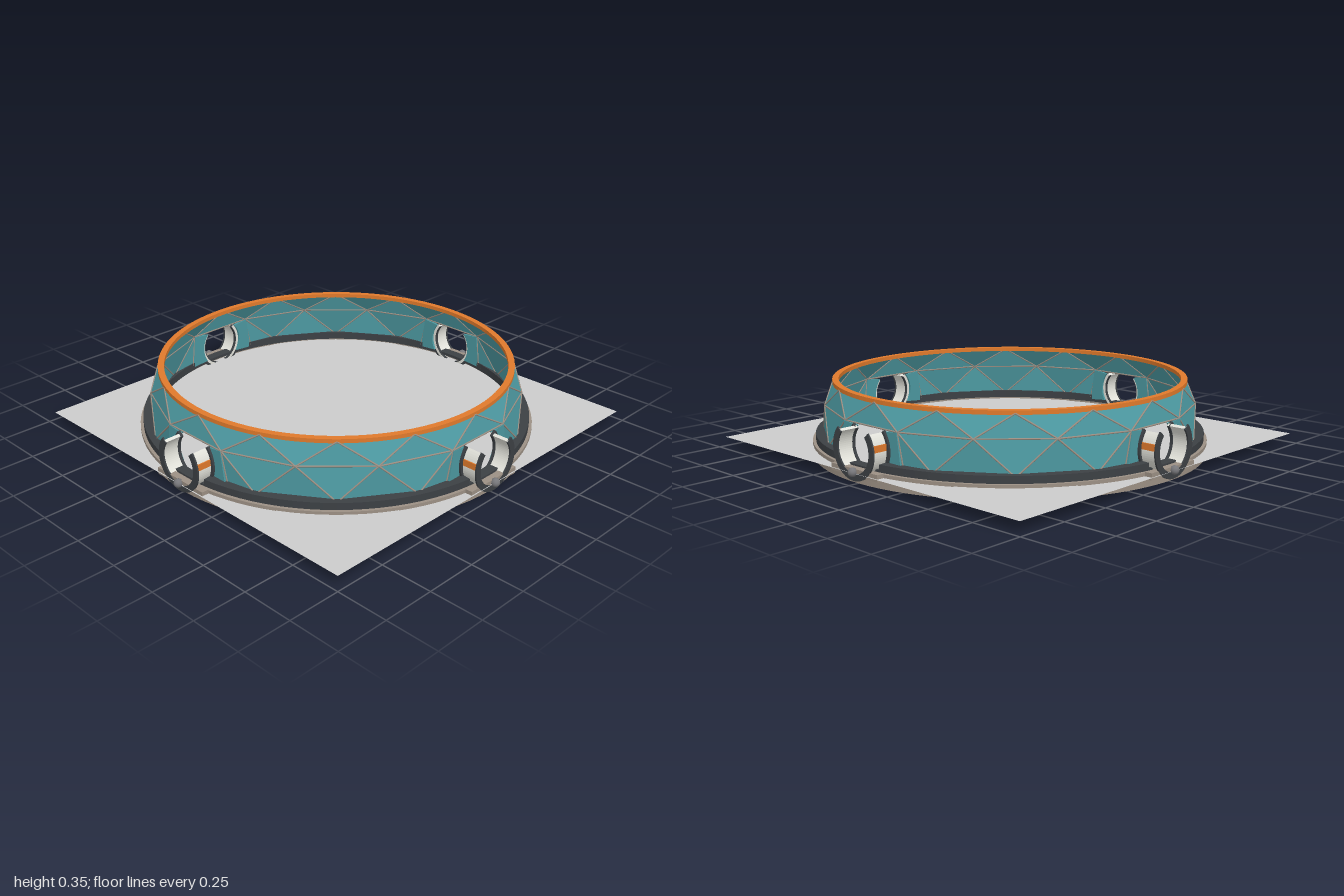
import * as THREE from 'three';

const mat = (color, extra = {}) => new THREE.MeshStandardMaterial({ color, ...extra });
const TEAL = 0x4c98a0, TAUPE = 0x9c9084, DARK = 0x3c4044, ORANGE = 0xe07a2c, CREAM = 0xe4e4dc, GREY = 0xcccccc;
const SEG = 16, STEP = Math.PI * 2 / SEG;

function add(parent, name, geometry, material, x = 0, y = 0, z = 0) {
  const mesh = new THREE.Mesh(geometry, material);
  mesh.name = name;
  mesh.position.set(x, y, z);
  parent.add(mesh);
  return mesh;
}

// Rectangular-section ring, optionally limited to an arc
function ring(inner, outer, y0, y1, start = 0, length = Math.PI * 2) {
  const p = [[inner, y0], [outer, y0], [outer, y1], [inner, y1], [inner, y0]].map(a => new THREE.Vector2(...a));
  const geo = new THREE.LatheGeometry(p, Math.max(12, Math.round(96 * length / (Math.PI * 2))), start, length).toNonIndexed();
  geo.computeVertexNormals();
  return geo;
}

// Flat annular arc in the xy plane, extruded along z
function arcPlate(inner, outer, a0, a1, depth) {
  const s = new THREE.Shape();
  s.absarc(0, 0, outer, a0, a1, false);
  s.absarc(0, 0, inner, a1, a0, true);
  return new THREE.ExtrudeGeometry(s, { depth, bevelEnabled: false, curveSegments: 28 });
}

const polar = (r, a, y) => new THREE.Vector3(r * Math.sin(a), y, r * Math.cos(a));

// Two rows of triangular panels with struts on their edges
function buildWall() {
  const wall = new THREE.Group();
  wall.name = 'panelWall';
  const low = i => polar(0.905, i * STEP, 0.085);
  const mid = i => polar(0.89, (i + 0.5) * STEP, 0.24);
  const top = i => polar(0.848, i * STEP, 0.342);
  const pos = [], edges = [];
  const tri = (...v) => v.forEach(p => pos.push(p.x, p.y, p.z));
  for (let i = 0; i < SEG; i++) {
    const gateHere = i % 4 === 0, gateNext = (i + 1) % 4 === 0;
    let a = low(i), b = low(i + 1);
    // panels beside a gate stop at its surround
    if (gateHere) a = low(i).lerp(low(i + 1), 0.58);
    if (gateNext) b = low(i + 1).lerp(low(i), 0.58);
    tri(a, b, mid(i));
    edges.push([a, mid(i)], [b, mid(i)], [mid(i - 1), mid(i)]);
    if (!gateHere) tri(mid(i - 1), low(i), mid(i));
    tri(mid(i - 1), mid(i), top(i));
    tri(mid(i), top(i + 1), top(i));
    edges.push([mid(i - 1), top(i)], [mid(i), top(i)]);
  }
  const geo = new THREE.BufferGeometry();
  geo.setAttribute('position', new THREE.Float32BufferAttribute(pos, 3));
  geo.computeVertexNormals();
  add(wall, 'panels', geo, mat(TEAL, { flatShading: true, side: THREE.DoubleSide }));

  const strutMat = mat(TAUPE);
  for (const [p, q] of edges) {
    const strut = add(wall, 'strut', new THREE.CylinderGeometry(0.004, 0.004, p.distanceTo(q), 6), strutMat);
    strut.position.copy(p).lerp(q, 0.5);
    strut.quaternion.setFromUnitVectors(new THREE.Vector3(0, 1, 0), q.clone().sub(p).normalize());
  }
  return wall;
}

// Gate facing +z: round tunnel cut flat at the top, with flange, sill and knob
function buildGate() {
  const gate = new THREE.Group();
  gate.name = 'gate';
  const cy = 0.15, a1 = Math.asin(0.66), a0 = -Math.PI - a1;
  add(gate, 'tunnel', arcPlate(0.108, 0.122, a0, a1, 0.095), mat(CREAM), 0, cy, 0.875);
  add(gate, 'outerFlange', arcPlate(0.104, 0.135, a0, a1, 0.008), mat(DARK), 0, cy, 0.966);
  add(gate, 'innerCollar', arcPlate(0.104, 0.135, a0, a1, 0.014), mat(DARK), 0, cy, 0.876);

  for (const s of [-1, 1]) {
    // wall piece between the tunnel and the triangular panels
    const shape = new THREE.Shape();
    shape.moveTo(s * 0.175, 0.24);
    for (let i = 0; i <= 10; i++) {
      const a = 0.72 - i * 0.13;
      shape.lineTo(s * 0.122 * Math.cos(a), cy + 0.122 * Math.sin(a));
    }
    shape.lineTo(s * 0.2, 0.075);
    add(gate, 'surround', new THREE.ExtrudeGeometry(shape, { depth: 0.015, bevelEnabled: false }), mat(TEAL), 0, 0, 0.864);
    add(gate, 'stripe', new THREE.BoxGeometry(0.006, 0.03, 0.072), mat(ORANGE), s * 0.121, 0.17, 0.928);
  }
  add(gate, 'sill', new THREE.BoxGeometry(0.31, 0.032, 0.035), mat(TAUPE), 0, 0.053, 0.954);
  add(gate, 'knob', new THREE.SphereGeometry(0.021, 20, 14), mat(0x77777a), 0, 0.055, 0.979);
  return gate;
}

export function createModel() {
  const model = new THREE.Group();
  model.name = 'arena';

  // Base, ground sheet and floor
  add(model, 'baseDisc', new THREE.CylinderGeometry(0.95, 0.95, 0.045, 96), mat(TAUPE), 0, 0.0225, 0);
  add(model, 'baseRim', ring(0.9, 0.95, 0.04, 0.066), mat(TAUPE));
  const sheet = (name, size, y) => {
    const m = add(model, name, new THREE.PlaneGeometry(size, size), mat(GREY, { side: THREE.DoubleSide }), 0, y, 0);
    m.rotation.x = -Math.PI / 2;
  };
  sheet('groundSheet', 1.955, 0.05);
  sheet('floorSheet', 1.66, 0.052);

  // Dark foot ring, lower across the gates
  add(model, 'footRing', ring(0.885, 0.935, 0.062, 0.076), mat(DARK));
  for (let i = 0; i < 4; i++) {
    const gap = 0.125;
    add(model, 'footRingArc', ring(0.885, 0.935, 0.07, 0.1, i * Math.PI / 2 + gap, Math.PI / 2 - 2 * gap),
      mat(DARK, { side: THREE.DoubleSide }));
  }

  model.add(buildWall());
  add(model, 'topRing', ring(0.82, 0.85, 0.336, 0.355), mat(ORANGE));

  for (let i = 0; i < 4; i++) {
    const gate = buildGate();
    gate.rotation.y = i * Math.PI / 2;
    model.add(gate);
  }
  return model;
}
